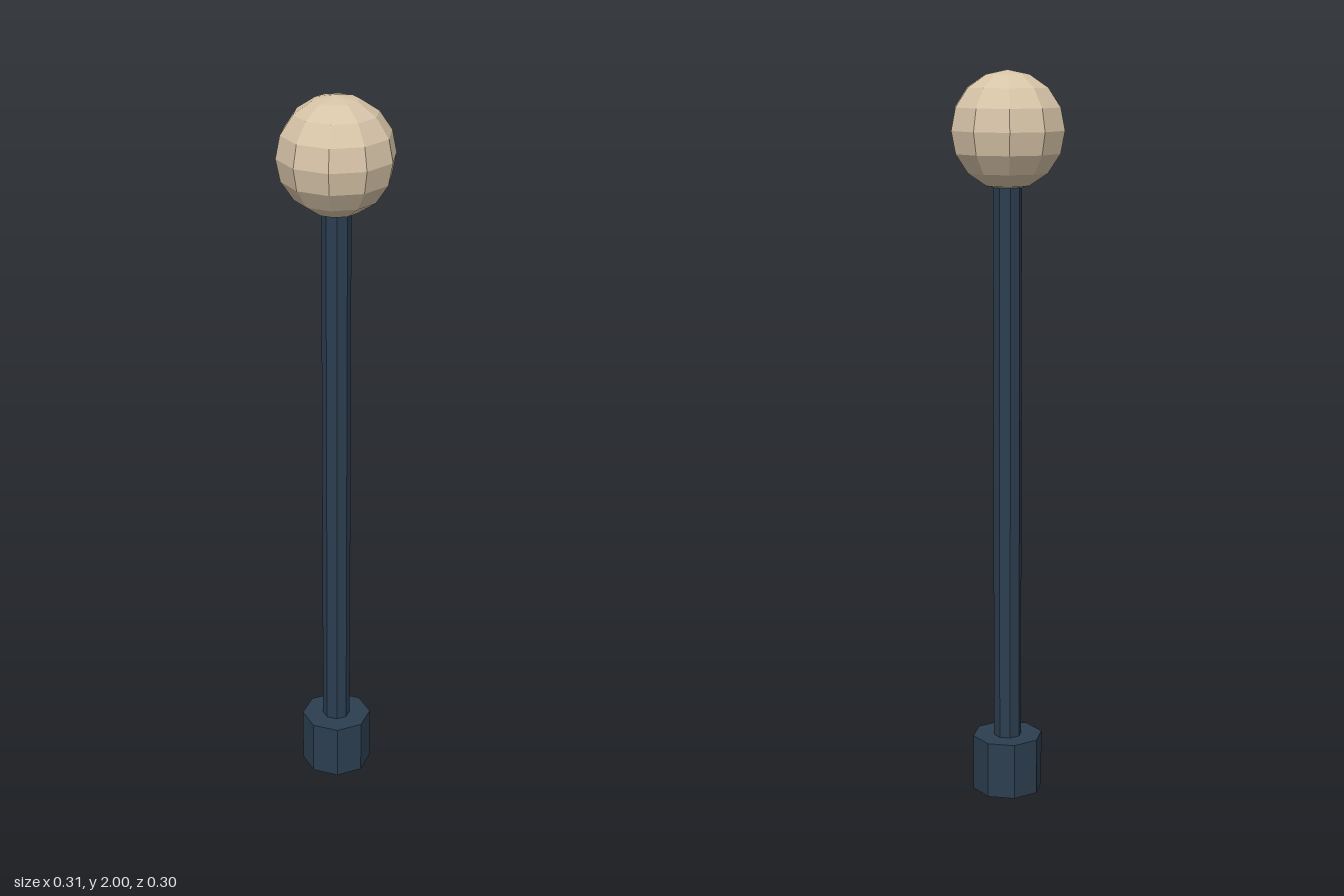
import * as THREE from 'three';

const BALL_RADIUS = 0.157;
const BASE_HEIGHT = 0.157;
const POLE_TOP = 1.7;

export function createModel() {
  const group = new THREE.Group();
  const dark = new THREE.MeshStandardMaterial({ color: 0x2c3e50, flatShading: true });
  const tan = new THREE.MeshStandardMaterial({ color: 0xd7c4a8, flatShading: true });

  const add = (name, geometry, material, y) => {
    const mesh = new THREE.Mesh(geometry, material);
    mesh.name = name;
    mesh.position.y = y;
    group.add(mesh);
  };

  // Octagonal foot
  add('base', new THREE.CylinderGeometry(0.098, 0.098, BASE_HEIGHT, 8), dark, BASE_HEIGHT / 2);

  // Slim octagonal pole, reaching just into the ball
  const poleLength = POLE_TOP - BASE_HEIGHT;
  add('pole', new THREE.CylinderGeometry(0.039, 0.039, poleLength, 8), dark, BASE_HEIGHT + poleLength / 2);

  // Faceted ball on top
  add('ball', new THREE.SphereGeometry(BALL_RADIUS, 10, 8), tan, 2 - BALL_RADIUS);

  return group;
}
